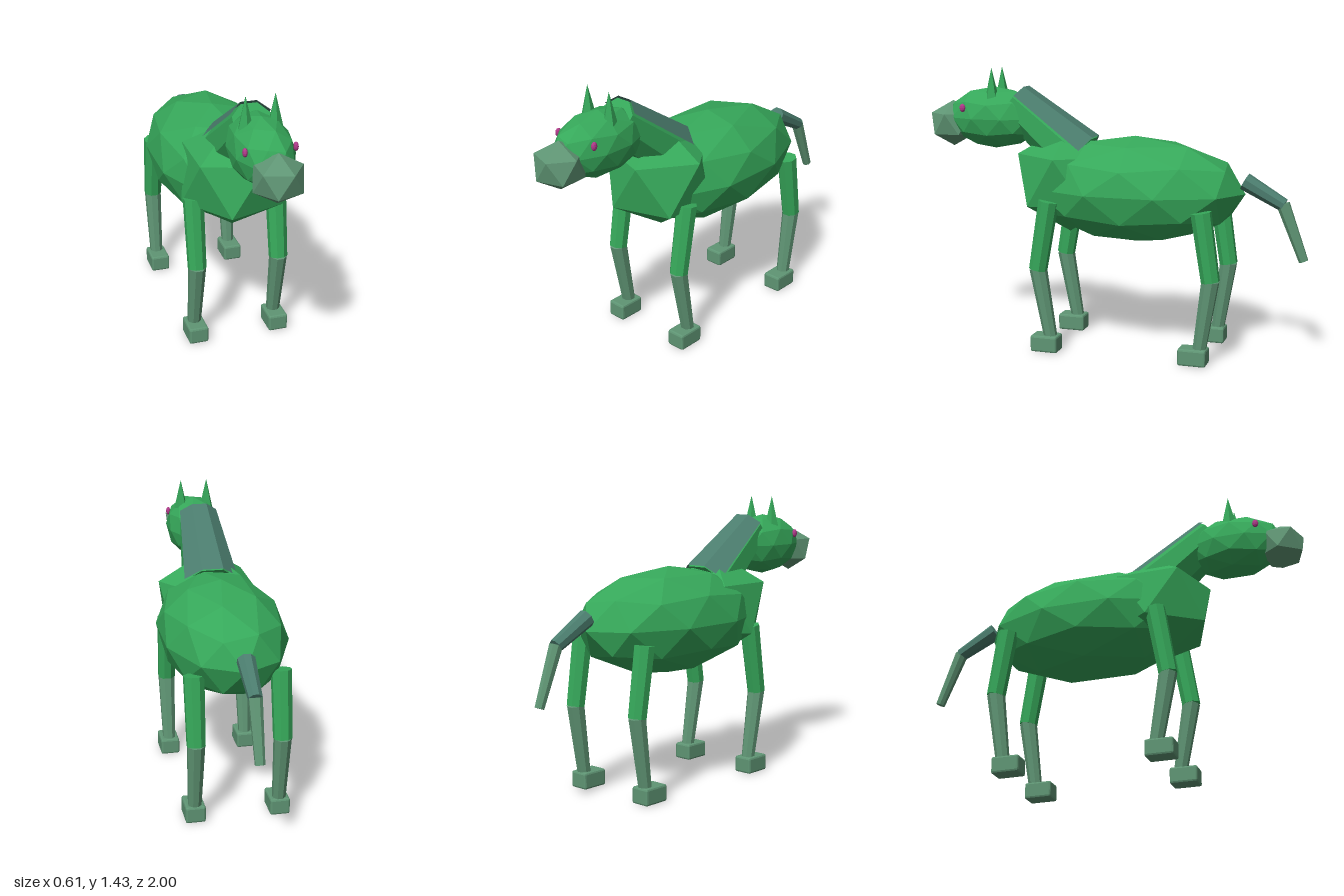
import * as THREE from 'three';
import { RoundedBoxGeometry } from 'three/addons/geometries/RoundedBoxGeometry.js';

const mat = (color, side = THREE.FrontSide) =>
  new THREE.MeshStandardMaterial({ color, side, flatShading: true });

export function createModel() {
  const horse = new THREE.Group();
  horse.name = 'horse';
  const coat = mat(0x36a85a);
  const pale = mat(0x5f9574);
  const hair = mat(0x4b7d6e, THREE.DoubleSide);
  const pink = mat(0xb03a8a);

  function add(name, geometry, material, x = 0, y = 0, z = 0) {
    const mesh = new THREE.Mesh(geometry, material);
    mesh.name = name;
    mesh.position.set(x, y, z);
    horse.add(mesh);
    return mesh;
  }

  // Faceted ball with a vertex at the top, stretched to the given radii
  function ball(name, detail, radii, pos, material) {
    const g = new THREE.IcosahedronGeometry(1, detail);
    g.rotateZ(-Math.atan(2) / 2);
    g.scale(...radii);
    return add(name, g, material, ...pos);
  }

  // Tapered tube between two points
  function limb(name, from, to, r0, r1, material, sides = 8, arc = null) {
    const a = new THREE.Vector3(...from), b = new THREE.Vector3(...to);
    const dir = b.clone().sub(a);
    const g = arc
      ? new THREE.CylinderGeometry(r1, r0, dir.length(), sides, 1, true, Math.PI - arc / 2, arc)
      : new THREE.CylinderGeometry(r1, r0, dir.length(), sides);
    if (!arc) g.rotateY(Math.PI / sides);
    const mid = a.add(b).multiplyScalar(0.5);
    const mesh = add(name, g, material, mid.x, mid.y, mid.z);
    mesh.quaternion.setFromUnitVectors(new THREE.Vector3(0, 1, 0), dir.normalize());
    return mesh;
  }

  // Trunk
  ball('body', 1, [0.32, 0.27, 0.57], [0, 0.83, -0.11], coat);
  ball('chest', 0, [0.29, 0.28, 0.3], [0, 0.87, 0.24], coat);

  // Neck with the mane lying over its upper side
  const neckBase = [0, 0.975, 0.19], neckTop = [0, 1.255, 0.54];
  limb('neck', neckBase, neckTop, 0.145, 0.1, coat);
  limb('mane', neckBase, neckTop, 0.155, 0.11, hair, 3, 2.2);

  // Head
  ball('head', 1, [0.147, 0.16, 0.26], [0, 1.17, 0.65], coat);
  ball('muzzle', 0, [0.13, 0.12, 0.13], [0, 1.133, 0.89], pale);
  for (const s of [1, -1]) {
    const side = s > 0 ? 'left' : 'right';
    ball(side + 'Eye', 1, [0.012, 0.022, 0.016], [s * 0.118, 1.225, 0.785], pink);
    add(side + 'Ear', new THREE.ConeGeometry(0.045, 0.19, 5), coat, s * 0.07, 1.335, 0.64);
  }

  // Legs: z of the hip, knee, ankle and hoof
  const legs = [
    ['front', 0.78, 0.28, 0.34, 0.275, 0.3],
    ['rear', 0.765, -0.505, -0.557, -0.505, -0.475],
  ];
  for (const [end, top, hip, knee, ankle, hoof] of legs) {
    for (const s of [1, -1]) {
      const name = end + (s > 0 ? 'Left' : 'Right');
      const x = s * 0.212;
      limb(name + 'UpperLeg', [x, top, hip], [x, 0.425, knee], 0.052, 0.047, coat);
      limb(name + 'LowerLeg', [x, 0.43, knee], [x, 0.07, ankle], 0.045, 0.034, pale);
      add(name + 'Hoof', new RoundedBoxGeometry(0.1, 0.085, 0.142, 1, 0.01), pale, x, 0.0425, hoof);
    }
  }

  // Tail
  limb('tailBase', [0, 0.895, -0.675], [0, 0.785, -0.872], 0.045, 0.034, hair);
  limb('tailTip', [0, 0.79, -0.868], [0, 0.51, -0.976], 0.034, 0.024, pale);

  return horse;
}
